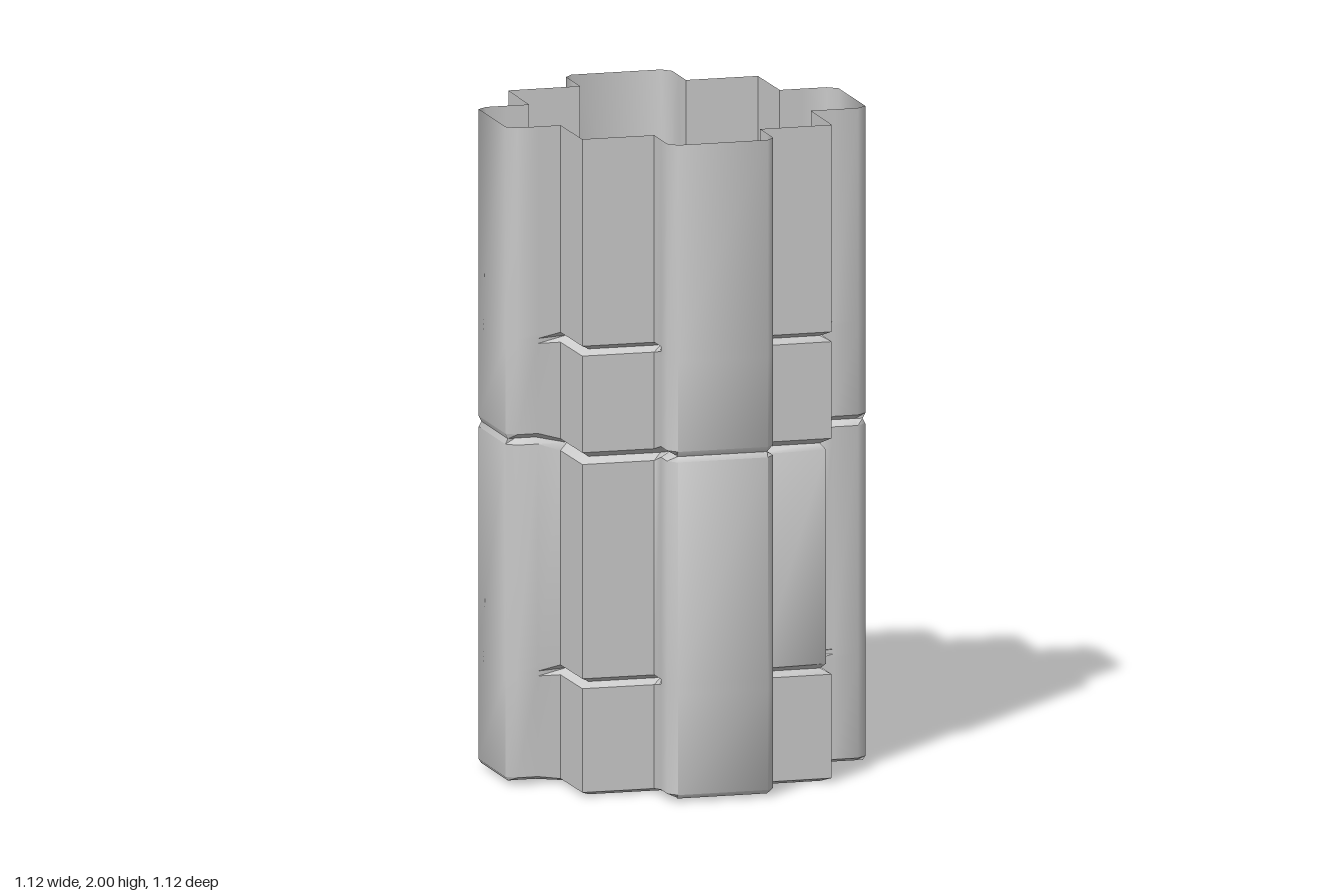
import * as THREE from 'three';
import { toCreasedNormals } from 'three/addons/utils/BufferGeometryUtils.js';

// One quarter of the cross outline: x, z, inward pull (x, z) at a full seam,
// pull at a block-only groove, and whether the point belongs to a corner block.
const QUARTER = [
  { x: 0.14, z: 0.56, px: 0, pz: 0.008, groove: 0, block: 0 },
  { x: 0.165, z: 0.53, px: 0.028, pz: 0, groove: 0, block: 0 },
  { x: 0.165, z: 0.46, px: 0.028, pz: 0, groove: 0, block: 0 },
  { x: 0.165, z: 0.39, px: 0.028, pz: 0.028, groove: 1, block: 1 },
  { x: 0.388, z: 0.388, px: 0.028, pz: 0.028, groove: 1, block: 1 },
  { x: 0.39, z: 0.165, px: 0.028, pz: 0.028, groove: 1, block: 1 },
  { x: 0.46, z: 0.165, px: 0, pz: 0.028, groove: 0, block: 0 },
  { x: 0.53, z: 0.165, px: 0, pz: 0.028, groove: 0, block: 0 },
  { x: 0.56, z: 0.14, px: 0.008, pz: 0, groove: 0, block: 0 },
];

// Levels from bottom to top; drop lowers the corner blocks.
const ROWS = [
  { y: 0.01, kind: 'seam', drop: 0.01 },
  { y: 0.022, drop: 0.01 },
  { y: 0.328 },
  { y: 0.343, kind: 'groove' },
  { y: 0.358, worn: 0.014 },
  { y: 1.034, drop: 0.024, worn: 0.014 },
  { y: 1.05, kind: 'seam', drop: 0.022 },
  { y: 1.066, drop: 0.02 },
  { y: 1.34 },
  { y: 1.355, kind: 'groove' },
  { y: 1.37 },
  { y: 2 },
];

function ring({ y, kind, drop = 0, worn = 0 }) {
  const points = [];
  for (let q = 0; q < 4; q++) {
    QUARTER.forEach((p, i) => {
      const pull = kind === 'seam' ? 1 : kind === 'groove' ? p.groove : 0;
      // the edge of one corner block is slightly worn back
      const wear = q === 0 && i === 4 ? worn : 0;
      let x = p.x - p.px * pull - wear;
      let z = p.z - p.pz * pull - wear;
      for (let k = 0; k < q; k++) [x, z] = [z, -x];
      // the arms sit slightly off centre, the arm tips do not
      if (Math.abs(x) < 0.5) x -= 0.006;
      if (Math.abs(z) < 0.5) z += 0.005;
      points.push(x, y - drop * p.block, z);
    });
  }
  return points;
}

// Open shell skinned through the rings
function shellGeometry() {
  const n = QUARTER.length * 4;
  const positions = ROWS.flatMap(ring);
  const index = [];
  for (let r = 0; r < ROWS.length - 1; r++) {
    for (let i = 0; i < n; i++) {
      const a = r * n + i;
      const b = r * n + ((i + 1) % n);
      index.push(a, b, b + n, a, b + n, a + n);
    }
  }
  const geometry = new THREE.BufferGeometry();
  geometry.setAttribute('position', new THREE.Float32BufferAttribute(positions, 3));
  geometry.setIndex(index);
  return toCreasedNormals(geometry, 0.9);
}

export function createModel() {
  const group = new THREE.Group();
  group.name = 'crossPillar';
  const material = new THREE.MeshStandardMaterial({ color: 0xcccccc, side: THREE.DoubleSide });
  const shell = new THREE.Mesh(shellGeometry(), material);
  shell.name = 'pillarShell';
  group.add(shell);
  return group;
}
